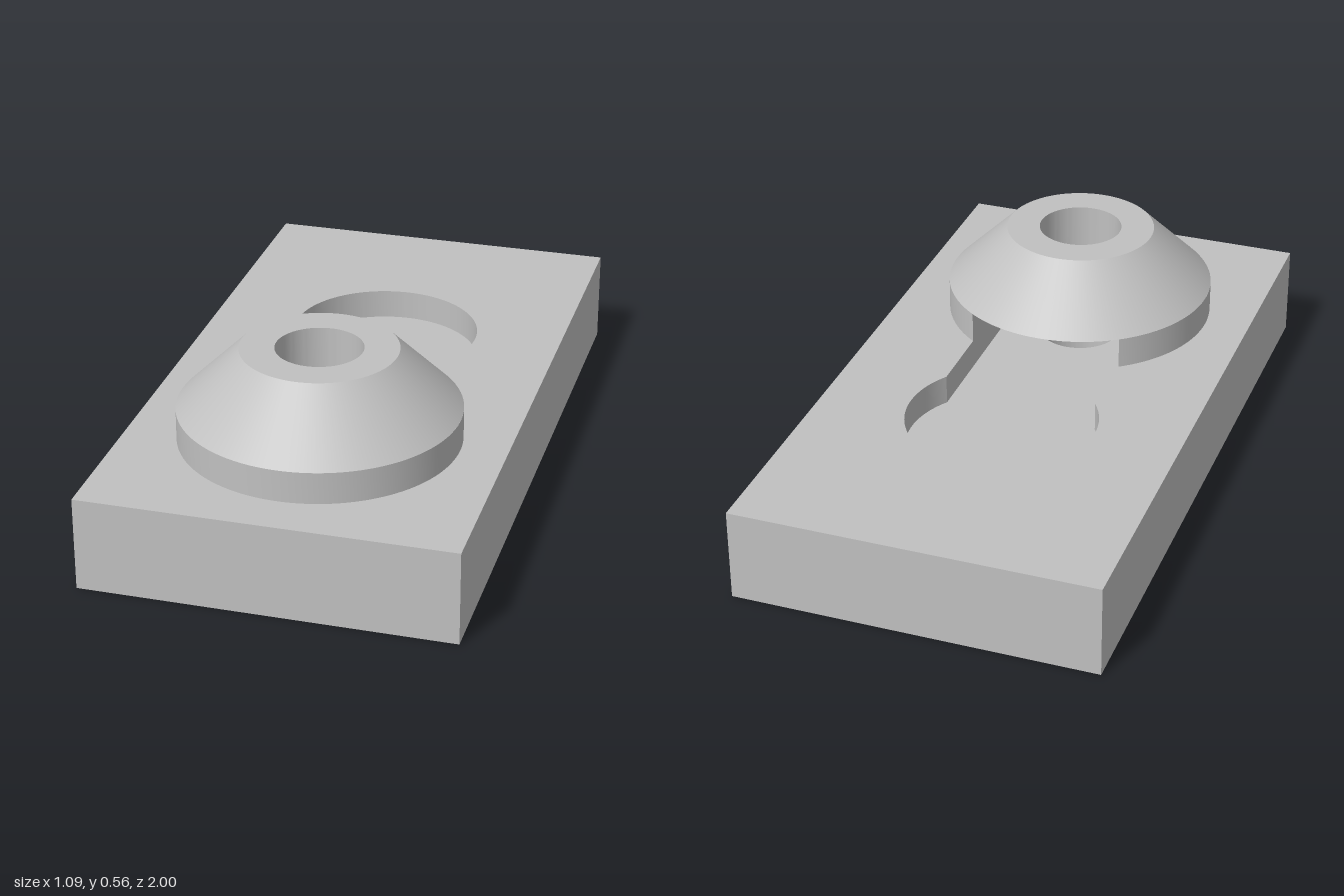
import * as THREE from 'three';
import { toCreasedNormals } from 'three/addons/utils/BufferGeometryUtils.js';

const W = 0.545, L = 1;                            // half width and half length of the plate
const FLOOR = 0.19, TOP = 0.28, RIM = 0.375, PEAK = 0.555;
const BOSS_Z = 0.45, BOSS_R = 0.41, PEAK_R = 0.228, BORE_R = 0.127;
const SLOT_R = 0.235, ENTRY_Z = -0.275, ENTRY_R = 0.285;

function createModel() {
  const group = new THREE.Group();
  const grey = new THREE.MeshStandardMaterial({ color: 0xc0c0c0 });
  grey.name = 'grey';

  const add = (name, geometry) => {
    const mesh = new THREE.Mesh(toCreasedNormals(geometry, 0.5), grey);
    mesh.name = name;
    group.add(mesh);
    return mesh;
  };

  // Plan outline (shape y = -z) raised from one height to another
  const slab = (shape, y0, y1) =>
    new THREE.ExtrudeGeometry(shape, { depth: y1 - y0, bevelEnabled: false, curveSegments: 64 })
      .rotateX(-Math.PI / 2)
      .translate(0, y0, 0);

  const plate = (hole) => {
    const s = new THREE.Shape();
    s.moveTo(-W, -L).lineTo(W, -L).lineTo(W, L).lineTo(-W, L).closePath();
    s.holes.push(hole);
    return s;
  };

  // Lower plate with the screw bore
  const bore = new THREE.Path().absarc(0, -BOSS_Z, BORE_R, 0, Math.PI * 2);
  add('plateFloor', slab(plate(bore), 0, FLOOR));

  // Upper plate with the keyhole pocket: round entry plus a round-ended slot
  const neck = Math.acos(SLOT_R / ENTRY_R);
  const keyhole = new THREE.Path();
  keyhole.absarc(0, -BOSS_Z, SLOT_R, Math.PI, Math.PI * 2);
  keyhole.absarc(0, -ENTRY_Z, ENTRY_R, -neck, Math.PI + neck);
  keyhole.closePath();
  add('keyholePlate', slab(plate(keyhole), FLOOR, TOP));

  // Boss wall, open towards the entry where the slot runs through it
  const mouth = Math.acos(SLOT_R / BOSS_R);
  const wall = new THREE.Shape();
  wall.absarc(0, -BOSS_Z, BOSS_R, Math.PI - mouth, Math.PI * 2 + mouth);
  wall.absarc(0, -BOSS_Z, SLOT_R, 0, -Math.PI, true);
  wall.closePath();
  add('bossWall', slab(wall, TOP, RIM));

  // Conical cap with the bore through it
  const profile = [[BORE_R, RIM], [BOSS_R, RIM], [PEAK_R, PEAK], [BORE_R, PEAK], [BORE_R, RIM]]
    .map(([r, y]) => new THREE.Vector2(r, y));
  add('conicalCap', new THREE.LatheGeometry(profile, 96)).position.z = BOSS_Z;

  return group;
}

export { createModel };
